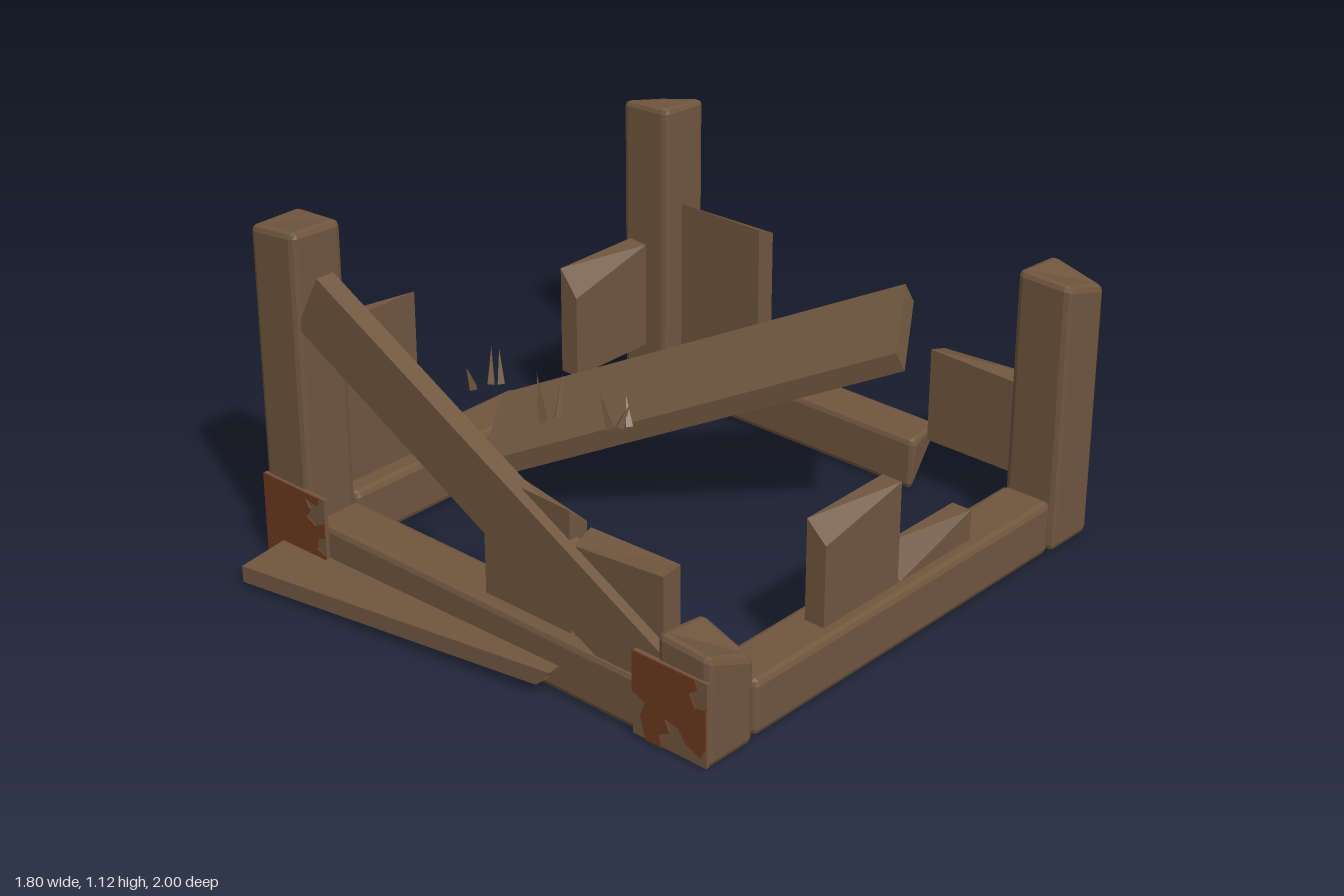
import * as THREE from 'three';
import { RoundedBoxGeometry } from 'three/addons/geometries/RoundedBoxGeometry.js';

const wood = new THREE.MeshStandardMaterial({ color: 0x70563f });
wood.name = 'weathered wood';
const rust = new THREE.MeshStandardMaterial({ color: 0x6e3920 });
rust.name = 'rusty iron';

const V = (x, y, z) => new THREE.Vector3(x, y, z);

export function createModel() {
  const model = new THREE.Group();

  function add(name, geometry, material = wood) {
    const mesh = new THREE.Mesh(geometry, material);
    mesh.name = name;
    model.add(mesh);
    return mesh;
  }

  // Box between two corners; bend(v, u) moves each vertex, u being its 0..1 place in the box
  function timber(name, min, max, bevel, bend) {
    const size = max.map((m, i) => m - min[i]);
    let g = bevel ? new RoundedBoxGeometry(...size, 1, bevel) : new THREE.BoxGeometry(...size);
    if (g.index) g = g.toNonIndexed();
    const p = g.attributes.position;
    for (let i = 0; i < p.count; i++) {
      const v = V().fromBufferAttribute(p, i);
      const u = V(v.x / size[0] + 0.5, v.y / size[1] + 0.5, v.z / size[2] + 0.5);
      v.add(V(...min)).add(V(...size).multiplyScalar(0.5));
      if (bend) bend(v, u);
      p.setXYZ(i, v.x, v.y, v.z);
    }
    g.computeVertexNormals();
    return add(name, g);
  }

  // Lowers the four top corners: [-x-z, +x-z, -x+z, +x+z]
  const dropTop = (d) => (v, u) => {
    if (u.y < 0.5) return;
    const back = d[0] + (d[1] - d[0]) * u.x;
    const front = d[2] + (d[3] - d[2]) * u.x;
    v.y -= back + (front - back) * u.z;
  };

  // Corner posts, each broken off at its own height
  [
    ['frontLeftPost', 0.71, 0.61, 0.365, [0.02, 0.09, 0, 0.01]],
    ['frontRightPost', -0.9, 0.61, 1.12, [0.02, 0.01, 0.02, 0]],
    ['backLeftPost', 0.71, -1, 0.905, [0.01, 0.06, 0, 0.005]],
    ['backRightPost', -0.9, -1, 1.05, [0.06, 0.01, 0.01, 0]],
  ].forEach(([name, x, z, h, drop]) =>
    timber(name, [x, 0, z], [x + 0.19, h, z + 0.19], 0.02, dropTop(drop)));

  // Ground sills; two have snapped, slanting ends
  timber('frontSill', [-0.7, 0.005, 0.62], [0.7, 0.185, 0.795], 0.02);
  timber('leftSill', [0.72, 0.005, -0.8], [0.895, 0.185, 0.6], 0.02);
  timber('rightSill', [-0.895, 0.005, -0.345], [-0.72, 0.185, 0.6], 0.02, (v, u) => {
    if (u.z < 0.5) v.z += 0.1 * u.y * (1 - u.x) + 0.02 * u.x;
  });
  timber('backSill', [-0.7, 0.005, -0.995], [0.34, 0.185, -0.83], 0.02, (v, u) => {
    if (u.x > 0.5) v.x -= 0.09 * (1 - u.y) * (1 - u.z) + 0.02 * (1 - u.z);
  });

  // Broken wall boards
  const base = 0.18;
  [
    ['frontBoard', 0, 0.34, 0.68, 0.75, 0.59, [0.01, 0.07, 0, 0.01]],
    ['frontBoard', 0.355, 0.69, 0.68, 0.75, 0.515, [0.01, 0, 0.04, 0.01]],
    ['backBoard', -0.7, -0.36, -0.95, -0.88, 0.7, [0.07, 0.03, 0, 0]],
    ['backBoard', 0.355, 0.7, -0.95, -0.88, 0.5, [0.02, 0, 0, 0.01]],
    ['rightBoard', -0.86, -0.79, 0.26, 0.6, 0.735, [0.08, 0, 0, 0]],
    ['rightBoard', -0.86, -0.79, -0.8, -0.46, 0.555, [0, 0.005, 0, 0.09]],
    ['leftBoard', 0.78, 0.85, -0.09, 0.25, 0.52, [0, 0, 0.005, 0.07]],
    ['leftBoard', 0.78, 0.85, -0.44, -0.1, 0.285, [0, 0, 0, 0.1]],
  ].forEach(([name, x0, x1, z0, z1, top, drop]) =>
    timber(name, [x0, base, z0], [x1, top, z1], 0, dropTop(drop)));

  // Loose planks, given by a top corner, length and width vectors, and thickness
  function plank(name, corner, along, across, thick, bend) {
    const down = along.clone().cross(across).normalize();
    if (down.y > 0) down.negate();
    const mesh = timber(name, [0, 0, 0], [1, 1, 1], 0, (v, u) => {
      if (bend) bend(u);
      v.copy(corner).addScaledVector(along, u.x).addScaledVector(across, u.z)
        .addScaledVector(down, thick * (1 - u.y));
    });
    return mesh;
  }
  plank('fallenBeam', V(-0.73, 0.29, -0.05), V(1.13, 0.52, -0.62), V(0.185, -0.075, 0.28), 0.07);
  plank('groundPlank', V(-0.84, 0.075, 0.68), V(1.14, 0.025, -0.16), V(0.04, -0.005, 0.32), 0.055,
    (u) => { if (u.x > 0.5 && u.y < 0.5 && u.z > 0.5) u.x -= 0.045; });

  // Diagonal brace leaning across the front
  const brace = timber('diagonalBrace', [0, -0.21, 0.72], [1.56, 0, 0.785], 0);
  brace.position.set(-0.63, 1, 0);
  brace.rotation.z = -Math.atan(0.53);

  // Corner plates with flaking rust on their faces
  const rustEdges = [
    [[-0.9, 0.01], [-0.63, 0.01], [-0.63, 0.09], [-0.67, 0.1], [-0.66, 0.14], [-0.63, 0.15],
      [-0.63, 0.2], [-0.67, 0.18], [-0.71, 0.2], [-0.69, 0.23], [-0.71, 0.26], [-0.66, 0.25],
      [-0.65, 0.28], [-0.9, 0.28]],
    [[0.63, 0.28], [0.63, 0.15], [0.68, 0.13], [0.66, 0.08], [0.68, 0.01], [0.74, 0.01],
      [0.73, 0.05], [0.77, 0.07], [0.75, 0.11], [0.8, 0.1], [0.83, 0.06], [0.88, 0.04],
      [0.9, 0.08], [0.9, 0.2], [0.86, 0.19], [0.84, 0.23], [0.87, 0.25], [0.86, 0.28]],
  ];
  rustEdges.forEach((edge, i) => {
    const x = i ? 0.63 : -0.9;
    timber('cornerPlate', [x, 0.01, 0.795], [x + 0.27, 0.28, 0.808], 0);
    const shape = new THREE.Shape(edge.map(([a, b]) => new THREE.Vector2(a, b)));
    const g = new THREE.ExtrudeGeometry(shape, { depth: 0.005, bevelEnabled: false });
    add('rustPatch', g.translate(0, 0, 0.808), rust);
  });

  // Sharp splinters: base x, y, z and tip x, y, z
  [
    [-0.005, 0.85, 0.77, -0.01, 0.92, 0.79],
    [0.025, 0.86, 0.73, 0.02, 0.97, 0.72],
    [0.045, 0.86, 0.71, 0.03, 0.96, 0.7],
    [0.245, 0.84, 0.75, 0.245, 0.98, 0.77],
    [0.265, 0.84, 0.77, 0.262, 0.92, 0.79],
    [0.285, 0.845, 0.73, 0.285, 0.97, 0.71],
    [0.495, 0.89, 0.75, 0.49, 1.01, 0.78],
    [0.525, 0.9, 0.74, 0.545, 0.97, 0.72],
    [0.55, 0.905, 0.73, 0.52, 0.98, 0.71],
  ].forEach(([a, b, c, d, e, f]) => {
    const from = V(a, b, c), dir = V(d, e, f).sub(from), h = dir.length();
    const mesh = add('splinter', new THREE.ConeGeometry(0.014, h, 4).toNonIndexed());
    mesh.geometry.computeVertexNormals();
    mesh.quaternion.setFromUnitVectors(V(0, 1, 0), dir.clone().normalize());
    mesh.position.copy(from).addScaledVector(dir, 0.5);
  });

  return model;
}
